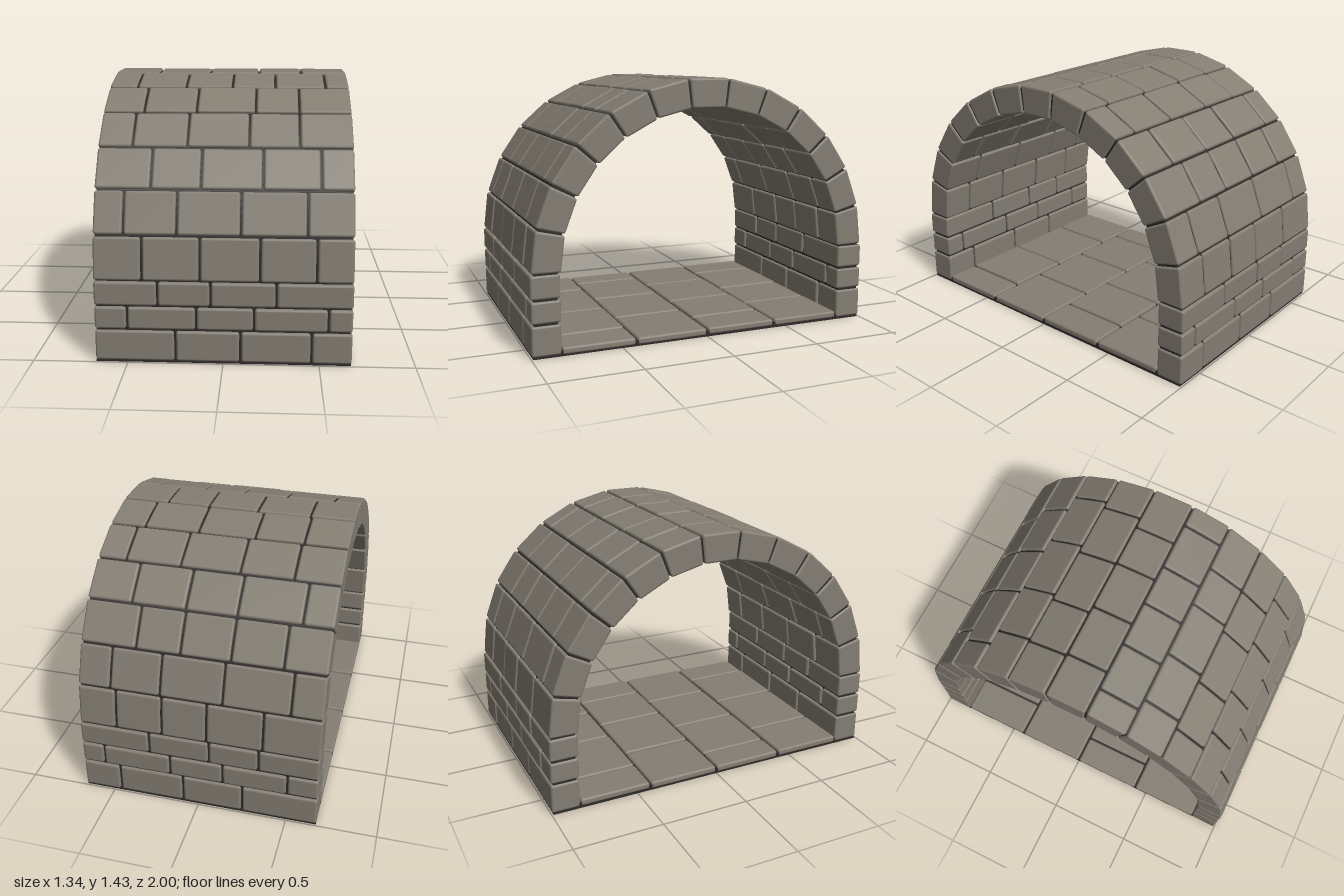
import * as THREE from 'three';
import { RoundedBoxGeometry } from 'three/addons/geometries/RoundedBoxGeometry.js';

const HALF = 0.67;          // half the tunnel length along x
const SPRING = 0.445;       // height where the arch begins
const R_IN = 0.83, R_OUT = 0.99;
const COUNT = 13;           // arch courses from side to side
const STEP = Math.PI / COUNT;
const GAP = 0.011;

// joints along x for each arch course, front (+z) foot to back (-z) foot
const ARCH_JOINTS = [
  [-0.42, -0.12, 0.19, 0.48],
  [-0.515, -0.24, 0.09, 0.43],
  [-0.38, -0.12, 0.2, 0.5],
  [-0.49, -0.2, 0.125, 0.39],
  [-0.45, -0.165, 0.155, 0.39],
  [-0.515, -0.24, 0.02, 0.26, 0.54],
  [-0.42, -0.12, 0.165, 0.41],
  [-0.43, -0.16, 0.16, 0.47],
  [-0.42, -0.13, 0.2, 0.51],
  [-0.505, -0.16, 0.12, 0.42],
  [-0.44, -0.16, 0.115, 0.36],
  [-0.5, -0.135, 0.21, 0.49],
  [-0.36, -0.05, 0.2, 0.46],
];

// straight courses under the arch: bottom, top, joints
const WALL_COURSES = [
  [0.005, 0.18, [-0.25, 0.09, 0.46]],
  [0.18, 0.31, [-0.5, -0.14, 0.16, 0.545]],
  [0.31, 0.448, [-0.34, -0.065, 0.275]],
];

const FLOOR_JOINTS = [
  [-0.36, 0.08, 0.47],
  [-0.5, -0.12, 0.28],
  [-0.3, 0.1, 0.45],
  [-0.45, -0.05, 0.3],
];

export function createModel() {
  const model = new THREE.Group();
  model.name = 'stoneTunnel';
  const stone = new THREE.MeshStandardMaterial({ color: 0x847e73 });
  stone.name = 'stone';
  const mortar = new THREE.MeshStandardMaterial({ color: 0x2f2829 });
  mortar.name = 'darkMortar';

  let seed = 7;
  const random = () => (seed = (seed * 16807) % 2147483647) / 2147483647;

  // rounded block; taper widens it towards +y like an arch stone
  function block(length, thick, width, taper = 0) {
    const radius = Math.min(0.013, length / 3, thick / 3);
    const geo = new RoundedBoxGeometry(length, thick, width, 2, radius);
    const pos = geo.attributes.position;
    for (let i = 0; i < pos.count; i++) {
      pos.setZ(i, pos.getZ(i) * (1 + taper * pos.getY(i)));
    }
    return geo;
  }

  // one row of blocks along x, split at the joints
  function course(name, joints, thick, width, taper, place) {
    const row = new THREE.Group();
    row.name = name;
    const edges = [-HALF, ...joints, HALF];
    for (let i = 0; i + 1 < edges.length; i++) {
      const a = edges[i] + (i ? GAP / 2 : 0);
      const b = edges[i + 1] - (i + 2 < edges.length ? GAP / 2 : 0);
      const mesh = new THREE.Mesh(block(b - a, thick, width - GAP, taper), stone);
      mesh.name = name + 'Stone';
      mesh.position.set((a + b) / 2, -random() * 0.005, 0);
      row.add(mesh);
    }
    place(row);
    model.add(row);
  }

  // arch courses
  const mid = (R_IN + R_OUT) / 2;
  ARCH_JOINTS.forEach((joints, i) => {
    const angle = Math.PI / 2 - (i + 0.5) * STEP;
    course('arch', joints, R_OUT - R_IN, 2 * mid * Math.tan(STEP / 2), 1 / mid, (row) => {
      row.rotation.x = angle;
      row.position.set(0, SPRING + mid * Math.cos(angle), mid * Math.sin(angle));
    });
  });

  // straight side walls
  for (const side of [1, -1]) {
    for (const [y0, y1, joints] of WALL_COURSES) {
      course(side > 0 ? 'frontWall' : 'backWall', joints, 0.16, y1 - y0, 0, (row) => {
        row.rotation.x = side * Math.PI / 2;
        row.position.set(0, (y0 + y1) / 2, side * 0.92);
      });
    }
  }

  // floor slabs
  FLOOR_JOINTS.forEach((joints, i) => {
    course('floor', joints, 0.04, 0.42, 0, (row) => row.position.set(0, 0.031, 0.63 - i * 0.42));
  });

  // mortar core inside the walls and arch, drawn in the z-y plane
  const shape = new THREE.Shape();
  shape.moveTo(0.982, 0.01);
  shape.lineTo(0.982, SPRING);
  shape.absarc(0, SPRING, 0.976, 0, Math.PI, false);
  shape.lineTo(-0.982, 0.01);
  shape.lineTo(-0.855, 0.01);
  shape.lineTo(-0.855, SPRING);
  shape.absarc(0, SPRING, 0.849, Math.PI, 0, true);
  shape.lineTo(0.855, 0.01);
  const coreLength = 2 * HALF - 0.02;
  const coreGeo = new THREE.ExtrudeGeometry(shape, { depth: coreLength, bevelEnabled: false, curveSegments: 39 });
  coreGeo.translate(0, 0, -coreLength / 2);
  coreGeo.rotateY(Math.PI / 2);
  const core = new THREE.Mesh(coreGeo, mortar);
  core.name = 'mortarCore';
  model.add(core);

  // dark bed under the floor
  const bed = new THREE.Mesh(new THREE.BoxGeometry(2 * HALF - 0.006, 0.03, 1.7), mortar);
  bed.name = 'floorBed';
  bed.position.y = 0.016;
  model.add(bed);
  const base = new THREE.Mesh(new THREE.BoxGeometry(2 * HALF - 0.006, 0.009, 1.98), mortar);
  base.name = 'basePlate';
  base.position.y = 0.0045;
  model.add(base);

  return model;
}
